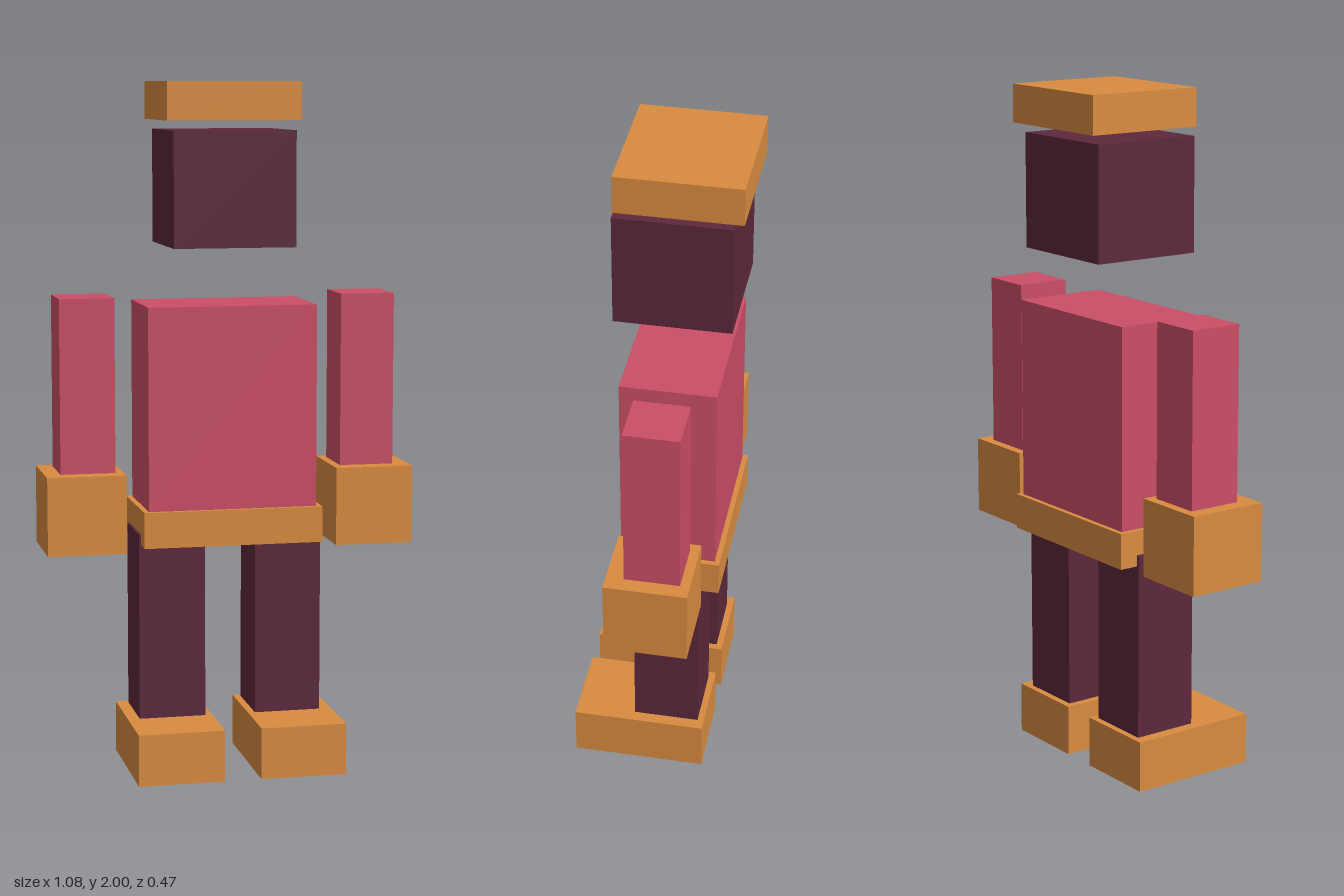
import * as THREE from 'three';

const material = (color) => new THREE.MeshStandardMaterial({ color, flatShading: true });

export function createModel() {
  const model = new THREE.Group();
  model.name = 'blockFigure';
  const orange = material(0xd98b40);
  const pink = material(0xcb4e67);
  const plum = material(0x5c283b);
  const midX = -0.002; // body's plane of symmetry

  // Box given by its centre x, width, and its y and z ranges
  function block(name, mat, x, width, [y0, y1], [z0, z1]) {
    const mesh = new THREE.Mesh(new THREE.BoxGeometry(width, y1 - y0, z1 - z0), mat);
    mesh.position.set(midX + x, (y0 + y1) / 2, (z0 + z1) / 2);
    mesh.name = name;
    model.add(mesh);
  }

  // Head and trunk
  block('hat', orange, 0, 0.39, [1.89, 2], [-0.237, 0.119]);
  block('head', plum, 0, 0.356, [1.53, 1.862], [-0.207, 0.126]);
  block('torso', pink, 0, 0.496, [0.77, 1.362], [-0.179, 0.097]);
  block('belt', orange, 0, 0.528, [0.667, 0.772], [-0.194, 0.111]);

  // Mirrored limbs
  for (const [side, s] of [['left', 1], ['right', -1]]) {
    block(side + 'Arm', pink, s * 0.415, 0.16, [0.88, 1.386], [-0.122, 0.038]);
    block(side + 'Hand', orange, s * 0.426, 0.23, [0.651, 0.88], [-0.15, 0.09]);
    block(side + 'Leg', plum, s * 0.173, 0.196, [0.151, 0.7], [-0.137, 0.057]);
    block(side + 'Foot', orange, s * 0.18, 0.252, [0, 0.151], [-0.156, 0.236]);
  }
  return model;
}
